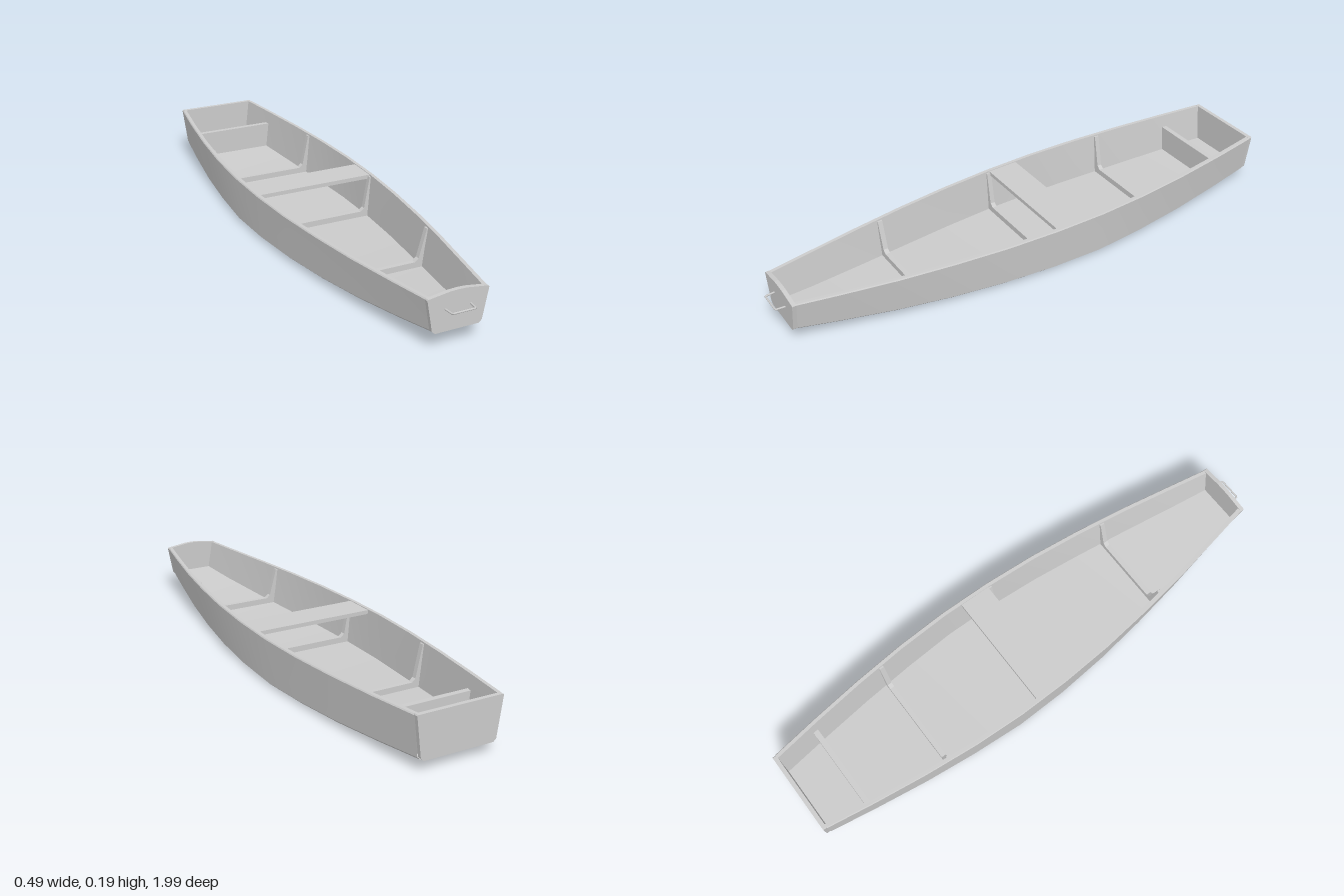
import * as THREE from 'three';
import { toCreasedNormals } from 'three/addons/utils/BufferGeometryUtils.js';

const material = new THREE.MeshStandardMaterial({ color: 0xcccccc, side: THREE.DoubleSide });

// Hull stations: z, half width at gunwale, half width at floor, gunwale y, bottom y
const STATIONS = [
  [-0.995, 0.160, 0.140, 0.195, 0.038],
  [-0.80, 0.190, 0.170, 0.190, 0.025],
  [-0.60, 0.216, 0.197, 0.186, 0.013],
  [-0.40, 0.235, 0.217, 0.183, 0.005],
  [-0.20, 0.244, 0.230, 0.181, 0.001],
  [0.00, 0.241, 0.226, 0.180, 0.003],
  [0.20, 0.228, 0.210, 0.179, 0.007],
  [0.40, 0.205, 0.184, 0.179, 0.014],
  [0.60, 0.175, 0.152, 0.179, 0.026],
  [0.80, 0.138, 0.115, 0.181, 0.044],
  [0.96, 0.107, 0.086, 0.184, 0.063],
];
const WALL = 0.014, FLOOR = 0.014, TRANSOM = 0.015;

function sectionAt(z) {
  let i = 0;
  while (i < STATIONS.length - 2 && z > STATIONS[i + 1][0]) i++;
  const a = STATIONS[i], b = STATIONS[i + 1];
  const t = (z - a[0]) / (b[0] - a[0]);
  const [, top, bottom, yTop, yBottom] = a.map((v, k) => v + (b[k] - v) * t);
  return { top, bottom, yTop, yBottom };
}

// Closed ring: outside skin from left gunwale to right, then back along the inside
function ring(z) {
  const s = sectionAt(z);
  const outer = [
    [s.top - 0.003, s.yTop], [s.top, s.yTop - 0.004],
    [s.bottom + 0.001, s.yBottom + 0.010], [s.bottom - 0.010, s.yBottom],
  ];
  const inner = [[s.bottom - WALL, s.yBottom + FLOOR], [s.top - WALL - 0.002, s.yTop]];
  const flip = (pts) => pts.map(([x, y]) => [-x, y]).reverse();
  return [...outer, ...flip(outer), ...flip(inner), ...inner];
}

function hullGeometry() {
  const zs = STATIONS.map((s) => s[0]);
  zs[0] += TRANSOM;
  zs[zs.length - 1] -= TRANSOM;
  const rings = zs.map(ring), n = rings[0].length;
  const position = [], index = [];
  rings.forEach((r, i) => r.forEach(([x, y]) => position.push(x, y, zs[i])));
  for (let i = 0; i < zs.length - 1; i++) {
    for (let j = 0; j < n; j++) {
      const a = i * n + j, b = i * n + (j + 1) % n;
      index.push(a, b, a + n, b, b + n, a + n);
    }
  }
  const g = new THREE.BufferGeometry();
  g.setAttribute('position', new THREE.Float32BufferAttribute(position, 3));
  g.setIndex(index);
  return toCreasedNormals(g, 0.5);
}

function plate(points, z, depth) {
  const shape = new THREE.Shape(points.map(([x, y]) => new THREE.Vector2(x, y)));
  const g = new THREE.ExtrudeGeometry(shape, { depth, bevelEnabled: false });
  return g.translate(0, 0, z);
}

// End board filling the hull section, with an optional raised crown
function transom(z, depth, crown) {
  const s = sectionAt(z);
  return plate([
    [-s.bottom + 0.010, s.yBottom], [s.bottom - 0.010, s.yBottom],
    [s.bottom + 0.001, s.yBottom + 0.010], [s.top, s.yTop - 0.004], [s.top - 0.003, s.yTop],
    [0.03, s.yTop + crown * 0.9], [0, s.yTop + crown], [-0.03, s.yTop + crown * 0.9],
    [-s.top + 0.003, s.yTop], [-s.top, s.yTop - 0.004], [-s.bottom - 0.001, s.yBottom + 0.010],
  ], z, depth);
}

// Half width of the inside of the hull at a given height
function innerHalf(s, y) {
  const y0 = s.yBottom + FLOOR;
  return THREE.MathUtils.lerp(s.bottom, s.top, (y - y0) / (s.yTop - y0)) - WALL + 0.003;
}

// U-shaped frame lying against the floor and both sides
function rib(z) {
  const s = sectionAt(z);
  const y0 = s.yBottom + FLOOR - 0.004, y1 = s.yTop - 0.006, yIn = y0 + 0.026;
  const w0 = innerHalf(s, y0), w1 = innerHalf(s, y1), t = 0.018;
  return plate([
    [-w0, y0], [w0, y0], [w1, y1], [w1 - t * 0.6, y1], [w0 - t, yIn + 0.012], [w0 - t - 0.014, yIn],
    [-w0 + t + 0.014, yIn], [-w0 + t, yIn + 0.012], [-w1 + t * 0.6, y1], [-w1, y1],
  ], z - 0.009, 0.018);
}

function bulkhead(z, y1) {
  const s = sectionAt(z), y0 = s.yBottom + FLOOR - 0.004;
  const w0 = innerHalf(s, y0), w1 = innerHalf(s, y1);
  return plate([[-w0, y0], [w0, y0], [w1, y1], [-w1, y1]], z - 0.01, 0.02);
}

// Crosswise seat plank following the hull sides
function thwart(zBack, zFront, y, thickness) {
  const a = sectionAt(zBack).top - 0.008, b = sectionAt(zFront).top - 0.008;
  const g = plate([[-a, -zBack], [-b, -zFront], [b, -zFront], [a, -zBack]], 0, thickness);
  return g.rotateX(-Math.PI / 2).translate(0, y, 0);
}

// Staple-shaped pull on the bow
function handle() {
  const path = new THREE.CurvePath();
  const pts = [[-0.045, 0.96], [-0.042, 0.994], [0.042, 0.994], [0.045, 0.96]]
    .map(([x, z]) => new THREE.Vector3(x, 0.138, z));
  for (let i = 0; i < 3; i++) path.add(new THREE.LineCurve3(pts[i], pts[i + 1]));
  return new THREE.TubeGeometry(path, 36, 0.0035, 8);
}

export function createModel() {
  const boat = new THREE.Group();
  boat.name = 'rowingBoat';
  const add = (name, geometry) => {
    const mesh = new THREE.Mesh(geometry, material);
    mesh.name = name;
    boat.add(mesh);
  };
  add('hull', hullGeometry());
  add('sternTransom', transom(-0.995, TRANSOM, 0));
  add('bowTransom', transom(0.96 - TRANSOM, TRANSOM, 0.012));
  [['sternRib', -0.5], ['middleRib', 0.0], ['bowRib', 0.495]].forEach(([name, z]) => add(name, rib(z)));
  add('sternBulkhead', bulkhead(-0.82, 0.14));
  add('thwart', thwart(-0.125, -0.005, 0.163, 0.015));
  add('bowHandle', handle());
  return boat;
}
